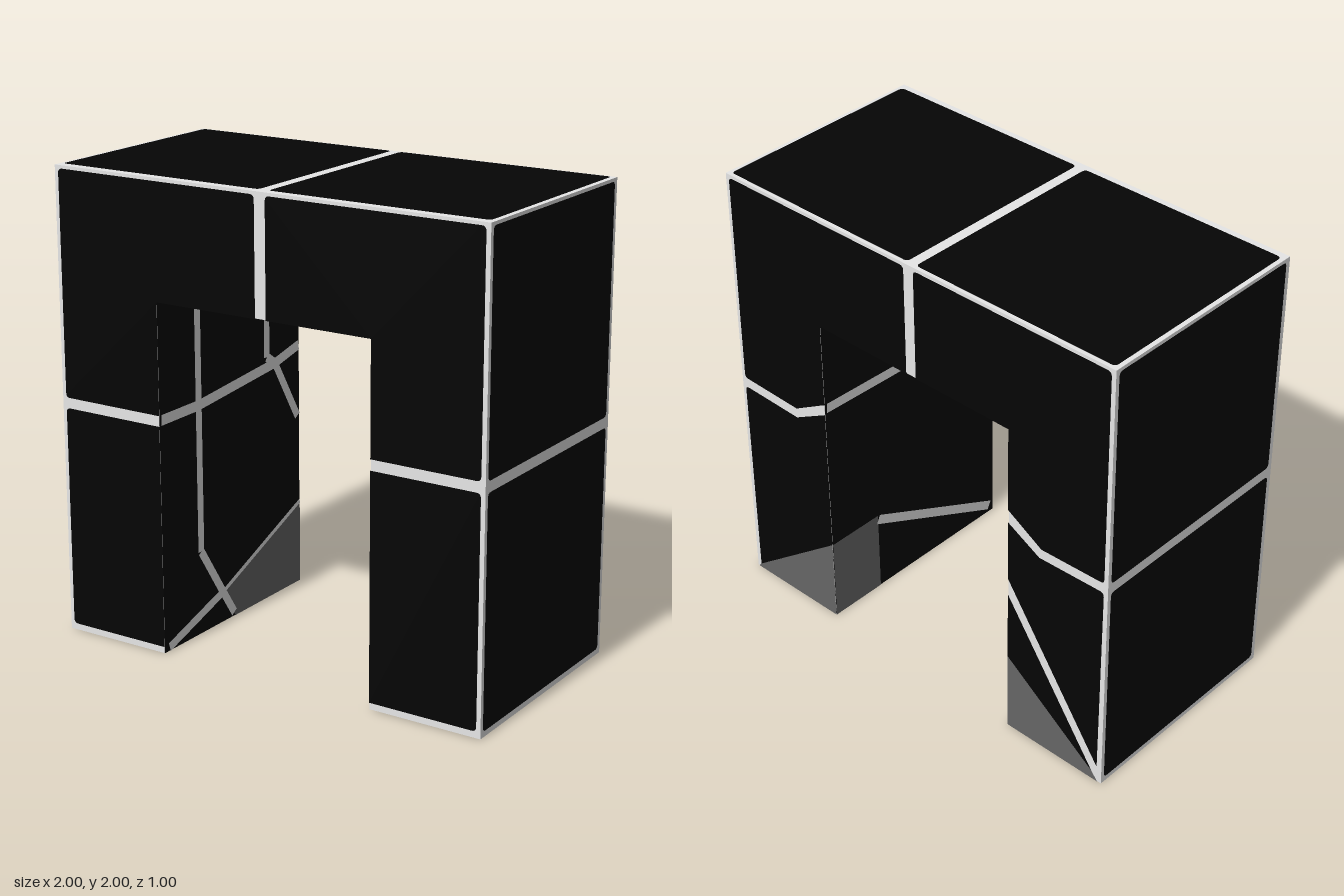
import * as THREE from 'three';

const GAP = 0.002; // how far the plates stand off the body

export function createModel() {
  const group = new THREE.Group();
  const black = new THREE.MeshStandardMaterial({ color: 0x050505 });
  black.name = 'black panel';
  const grey = new THREE.MeshStandardMaterial({ color: 0xe7e7e7 });
  grey.name = 'light grey joint';
  const dark = new THREE.MeshStandardMaterial({ color: 0x666666 });
  dark.name = 'dark grey corner';

  // Orientation and origin of each wall's drawing plane
  const H = Math.PI / 2;
  const walls = {
    front: { rot: [0, 0, 0], pos: [0, 0, 0.5] },
    back: { rot: [0, Math.PI, 0], pos: [0, 0, -0.5] },
    leftSide: { rot: [0, H, 0], pos: [1, 0, 0] },
    rightSide: { rot: [0, -H, 0], pos: [-1, 0, 0] },
    top: { rot: [-H, 0, 0], pos: [0, 2, 0] },
    bottom: { rot: [H, 0, 0], pos: [0, 0, 0] },
    ceiling: { rot: [H, 0, 0], pos: [0, 1.5, 0] },
    innerRight: { rot: [0, H, 0], pos: [-0.5, 0, 0] },
    innerLeft: { rot: [0, -H, 0], pos: [0.5, 0, 0] },
  };

  // Flat polygon; a third value on a point rounds that corner
  function plate(wall, name, pts, mat = black, lift = 0) {
    const s = new THREE.Shape();
    const n = pts.length;
    const toward = (p, q, r) => {
      const d = Math.hypot(q[0] - p[0], q[1] - p[1]);
      return [p[0] + ((q[0] - p[0]) * r) / d, p[1] + ((q[1] - p[1]) * r) / d];
    };
    pts.forEach((p, i) => {
      const r = p[2] || 0;
      const a = toward(p, pts[(i + n - 1) % n], r);
      const b = toward(p, pts[(i + 1) % n], r);
      if (i) s.lineTo(...a);
      else s.moveTo(...a);
      if (r) s.quadraticCurveTo(p[0], p[1], ...b);
    });
    s.closePath();
    const mesh = new THREE.Mesh(new THREE.ShapeGeometry(s, 4), mat);
    mesh.name = name;
    mesh.rotation.set(...walls[wall].rot);
    mesh.position.set(...walls[wall].pos);
    mesh.translateZ(lift);
    group.add(mesh);
  }

  // Grey joint following a polyline
  function joint(wall, w, ...pts) {
    for (let i = 0; i + 1 < pts.length; i++) {
      const [a, b] = [pts[i], pts[i + 1]];
      const d = Math.hypot(b[0] - a[0], b[1] - a[1]);
      const nx = (-(b[1] - a[1]) / d) * w / 2;
      const ny = ((b[0] - a[0]) / d) * w / 2;
      plate(wall, wall + 'Joint', [
        [a[0] + nx, a[1] + ny], [a[0] - nx, a[1] - ny],
        [b[0] - nx, b[1] - ny], [b[0] + nx, b[1] + ny],
      ], grey, 0.004);
    }
  }

  const R = 0.02;
  const rect = (x0, y0, x1, y1, r = R) => [[x0, y0, r], [x1, y0, r], [x1, y1, r], [x0, y1, r]];
  const mirror = (pts) => pts.map(([x, y, r]) => [-x, y, r]);

  // Archway body
  const o = 1 - GAP, i = 0.5 + GAP;
  const arch = new THREE.Shape([
    [-o, GAP], [-i, GAP], [-i, 1.5 + GAP], [i, 1.5 + GAP],
    [i, GAP], [o, GAP], [o, 2 - GAP], [-o, 2 - GAP],
  ].map((p) => new THREE.Vector2(...p)));
  const depth = 1 - 2 * GAP;
  const bodyGeo = new THREE.ExtrudeGeometry(arch, { depth, bevelEnabled: false });
  bodyGeo.translate(0, 0, -depth / 2);
  const body = new THREE.Mesh(bodyGeo, grey);
  body.name = 'archBody';
  group.add(body);

  // Front: L-shaped upper panels and lower leg panels
  const upper = [[0.98, 1.03, R], [0.5, 1.03], [0.5, 1.5], [0.025, 1.5], [0.025, 1.985, R], [0.98, 1.985, R]];
  const lower = [[0.98, 0.03, R], [0.5, 0.03], [0.5, 0.985], [0.98, 0.985, R]];
  for (const f of [(p) => p, mirror]) {
    plate('front', 'frontUpperPanel', f(upper));
    plate('front', 'frontLegPanel', f(lower));
  }

  // Back: joints bend up towards the opening, dark corners at the feet
  const backUpper = [[0.98, 1.03, R], [0.67, 1.02], [0.5, 1.12], ...upper.slice(2)];
  plate('back', 'backUpperPanel', backUpper);
  plate('back', 'backUpperPanel', mirror(backUpper));
  plate('back', 'backLegPanel', [[-0.975, 0.02], [-0.5, 0.39], [-0.5, 1.07], [-0.67, 0.975], [-0.98, 0.985, R]]);
  plate('back', 'backLegCorner', [[-0.99, 0.002], [-0.5, 0.002], [-0.5, 0.39], [-0.975, 0.02]], dark);
  plate('back', 'backLegPanel', [[0.975, 0.08], [0.98, 0.985, R], [0.66, 0.975], [0.5, 1.06], [0.5, 0.78]]);
  plate('back', 'backLegWedge', [[0.5, 0.7], [0.5, 0.375], [0.95, 0.04]]);
  plate('back', 'backLegCorner', [[0.5, 0.002], [0.5, 0.375], [0.95, 0.04], [0.98, 0.002]], dark);

  // Outer sides and top
  for (const side of ['leftSide', 'rightSide']) {
    plate(side, side + 'LowerPanel', rect(-0.483, 0.027, 0.475, 0.985));
    plate(side, side + 'UpperPanel', rect(-0.483, 1.03, 0.475, 1.985));
  }
  plate('top', 'topPanel', rect(-0.98, -0.468, -0.025, 0.483));
  plate('top', 'topPanel', rect(0.02, -0.468, 0.98, 0.483));

  // Undersides of the legs, one with a dark corner
  plate('bottom', 'footPanel', rect(0.5, -0.49, 0.99, 0.49, 0));
  plate('bottom', 'footPanel', [[-0.99, -0.47], [-0.99, 0.49], [-0.5, 0.49], [-0.5, 0.02]]);
  plate('bottom', 'footCorner', [[-0.96, -0.498], [-0.5, -0.498], [-0.5, -0.015]], dark);

  // Inner faces of the opening
  plate('ceiling', 'ceilingPanel', rect(-0.5, -0.498, 0.5, 0.498, 0));
  joint('ceiling', 0.03, [-0.5, 0.24], [0, -0.02]);
  joint('ceiling', 0.03, [-0.5, -0.25], [-0.33, -0.34]);

  plate('innerRight', 'innerRightPanel', rect(-0.498, 0.002, 0.498, 1.5, 0));
  plate('innerRight', 'innerRightCorner', [[-0.09, 0.14], [0, 0.002], [0.498, 0.002], [0.498, 0.38]], dark, 0.002);
  joint('innerRight', 0.02, [-0.09, 0.14], [0.495, 0.38]);
  joint('innerRight', 0.045, [-0.49, 1.01], [-0.24, 1.01], [0.31, 1.06], [0.49, 1.1]);
  joint('innerRight', 0.04, [-0.24, 1.5], [-0.24, 0.37], [-0.09, 0.14], [-0.01, 0.02]);
  joint('innerRight', 0.04, [0.25, 1.5], [0.25, 1.1], [0.31, 1.06], [0.48, 0.78]);
  joint('innerRight', 0.04, [-0.09, 0.14], [-0.47, 0.02]);

  plate('innerLeft', 'innerLeftPanel', rect(-0.498, 0.002, 0.498, 1.5, 0));
  plate('innerLeft', 'innerLeftCorner', rect(-0.498, 0.002, -0.23, 0.39, 0), dark, 0.002);
  joint('innerLeft', 0.045, [-0.49, 1.1], [0.24, 1.08], [0.49, 1.01]);
  joint('innerLeft', 0.045, [-0.23, 0.37], [0.47, 0.04]);

  return group;
}
